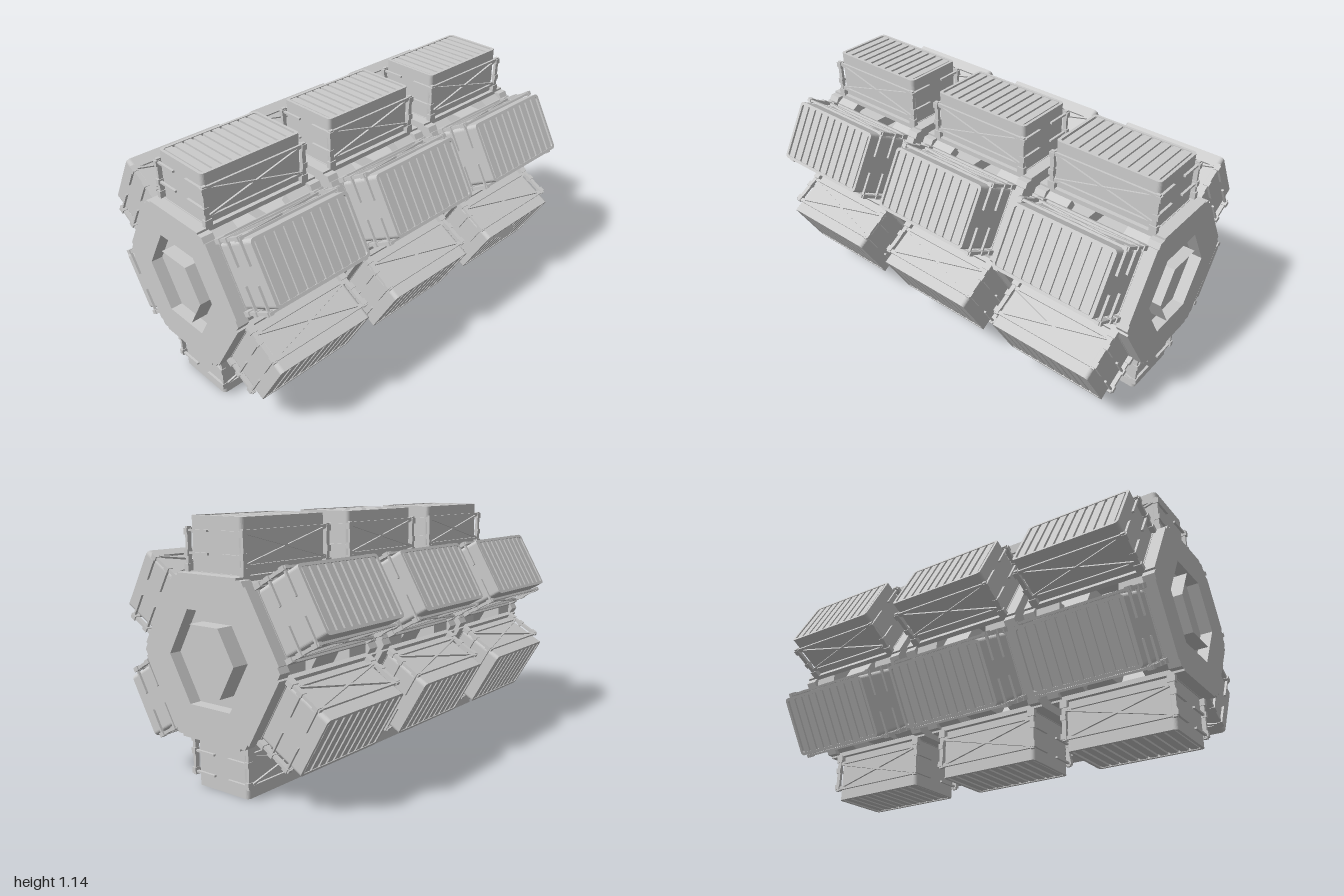
import * as THREE from 'three';

const grey = new THREE.MeshStandardMaterial({ color: 0xcccccc, flatShading: true });
const AXIS_Y = 0.57, PITCH = 0.667;

function add(parent, name, geometry, x = 0, y = 0, z = 0) {
  const mesh = new THREE.Mesh(geometry, grey);
  mesh.name = name;
  mesh.position.set(x, y, z);
  parent.add(mesh);
  return mesh;
}
const box = (parent, name, w, h, d, x, y, z) => add(parent, name, new THREE.BoxGeometry(w, h, d), x, y, z);

// Thin bar between two points
function bar(parent, name, a, b, t) {
  const mesh = box(parent, name, t, t, a.distanceTo(b), 0, 0, 0);
  mesh.position.copy(a).add(b).multiplyScalar(0.5);
  mesh.quaternion.setFromUnitVectors(new THREE.Vector3(0, 0, 1), b.clone().sub(a).normalize());
}

// Flat-topped hexagon outline
function hexPath(r, Type = THREE.Shape) {
  const p = [];
  for (let i = 0; i < 6; i++) p.push(new THREE.Vector2(r * Math.cos(i * Math.PI / 3), r * Math.sin(i * Math.PI / 3)));
  return new Type(p);
}

// Rounded rectangle outline
function roundRect(w, h, r, Type = THREE.Shape) {
  const s = new Type(), x = w / 2, y = h / 2;
  s.moveTo(x, -y + r);
  s.absarc(x - r, y - r, r, 0, Math.PI / 2);
  s.absarc(-x + r, y - r, r, Math.PI / 2, Math.PI);
  s.absarc(-x + r, -y + r, r, Math.PI, Math.PI * 1.5);
  s.absarc(x - r, -y + r, r, Math.PI * 1.5, Math.PI * 2);
  return s;
}
const extrude = (shape, depth) => new THREE.ExtrudeGeometry(shape, { depth, bevelEnabled: false, curveSegments: 3 });
// Extruded along +y instead of +z
const extrudeUp = (shape, depth) => extrude(shape, depth).rotateX(-Math.PI / 2);

// One cargo container with its cradle; +y points away from the hub axis
function makeContainer() {
  const g = new THREE.Group();
  g.name = 'container';
  box(g, 'basePlate', 0.33, 0.022, 0.51, 0, 0.334, 0);
  add(g, 'containerBody', extrudeUp(roundRect(0.29, 0.5, 0.018), 0.213), 0, 0.345, 0);

  // Rim and slats of the outer lid
  const rim = roundRect(0.29, 0.5, 0.018);
  rim.holes.push(roundRect(0.264, 0.474, 0.012, THREE.Path));
  add(g, 'lidRim', extrudeUp(rim, 0.012), 0, 0.558, 0);
  for (let i = 0; i < 10; i++) box(g, 'lidSlat', 0.266, 0.009, 0.034, 0, 0.5625, (i - 4.5) * 0.047);

  for (const s of [1, -1]) {
    const x = s * 0.156;
    for (const e of [1, -1]) {
      // Corner post with feet and clamping arms
      box(g, 'cradlePost', 0.014, 0.16, 0.02, x, 0.445, e * 0.252);
      box(g, 'postFoot', 0.022, 0.035, 0.035, x, 0.358, e * 0.25);
      box(g, 'postKnuckle', 0.02, 0.026, 0.026, x, 0.418, e * 0.255);
      box(g, 'postKnuckle', 0.02, 0.026, 0.026, x, 0.505, e * 0.255);
      for (const y of [0.418, 0.51]) box(g, 'clampArm', 0.12, 0.009, 0.012, s * 0.1, y, e * 0.255);
      // Cross brace
      bar(g, 'crossBrace', new THREE.Vector3(x, 0.385, -e * 0.245), new THREE.Vector3(x, 0.51, e * 0.245), 0.009);
    }
    for (const y of [0.38, 0.515]) box(g, 'cradleRail', 0.01, 0.012, 0.5, x, y, 0);
  }
  // Feet tying the base plate to the end plates
  for (const e of [1, -1]) box(g, 'baseFlange', 0.33, 0.02, 0.055, 0, 0.333, e * 0.2825);
  return g;
}

// Ring of six containers between two hexagonal end plates
function makeModule() {
  const g = new THREE.Group();
  g.name = 'containerRing';
  const plate = hexPath(0.385);
  plate.holes.push(hexPath(0.228, THREE.Path));
  const plateGeometry = extrude(plate, 0.055);
  const collarGeometry = extrude(hexPath(0.234), 0.15);
  for (const e of [1, -1]) {
    add(g, 'endPlate', plateGeometry, 0, 0, e * 0.2825 - 0.0275);
    add(g, 'hubCollar', collarGeometry, 0, 0, e * 0.18 - 0.075);
  }
  for (let k = 0; k < 6; k++) {
    const arm = makeContainer();
    arm.rotation.z = k * Math.PI / 3;
    g.add(arm);
    // Corner stubs behind the end plates
    const corner = new THREE.Group();
    corner.name = 'plateCorner';
    corner.rotation.z = k * Math.PI / 3;
    for (const e of [1, -1]) box(corner, 'cornerStub', 0.045, 0.045, 0.12, 0.34, 0, e * 0.2);
    g.add(corner);
  }
  return g;
}

export function createModel() {
  const model = new THREE.Group();
  model.name = 'cargoStack';
  const body = new THREE.Group();
  body.name = 'body';
  body.position.y = AXIS_Y;
  model.add(body);

  // Open hexagonal spine running the full length
  const spine = new THREE.CylinderGeometry(0.165, 0.165, 2, 6, 1, true, Math.PI / 6).rotateX(Math.PI / 2);
  add(body, 'spine', spine);

  for (const i of [-1, 0, 1]) {
    const ring = makeModule();
    ring.position.z = i * PITCH;
    body.add(ring);
  }
  return model;
}
